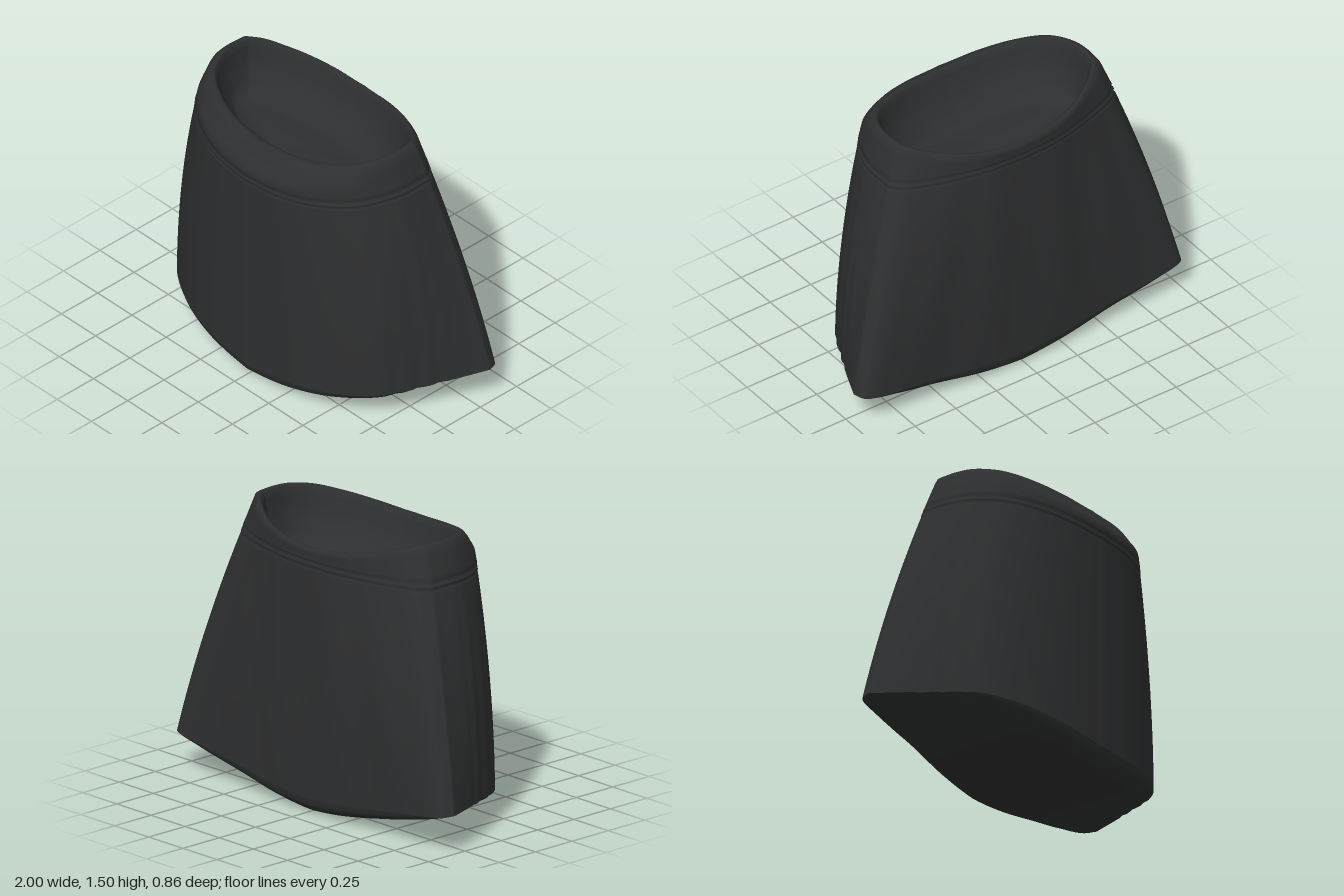
import * as THREE from 'three';

const V = (p) => new THREE.Vector3(p[0], 0, p[1]);
const HALF = 44; // samples along each front / back half curve
const ZC = -0.04;

// Closed outline from half-curves (x, z): front centre -> corner -> back centre, mirrored.
function outline(front, back) {
  const f = new THREE.CatmullRomCurve3(front.map(V));
  const b = new THREE.CatmullRomCurve3([front[front.length - 1], ...back].map(V));
  const half = [];
  for (let i = 0; i < HALF; i++) half.push(f.getPoint(i / HALF));
  for (let i = 0; i <= HALF; i++) half.push(b.getPoint(i / HALF));
  const mirrored = half.slice(1, -1).reverse().map((p) => new THREE.Vector3(-p.x, 0, p.z));
  return [...half, ...mirrored];
}

const hem = outline(
  [[0, 0.43], [0.3, 0.4], [0.55, 0.325], [0.745, 0.195], [0.85, 0.01], [0.925, -0.15], [1, -0.32]],
  [[0.97, -0.38], [0.8, -0.395], [0.55, -0.39], [0.28, -0.405], [0, -0.41]]);
const waist = outline(
  [[0, 0.43], [0.22, 0.405], [0.4, 0.335], [0.54, 0.22], [0.61, 0.07], [0.625, -0.05], [0.62, -0.155]],
  [[0.56, -0.225], [0.47, -0.285], [0.36, -0.34], [0.2, -0.385], [0, -0.4]]);
const N = hem.length;

// Position along one side: 0 front centre, 1 corner, 2 back centre.
const station = (i) => Math.min(i, N - i) / HALF;
const bump = (x, c, w) => Math.exp(-(((x - c) / w) ** 2));

// Hem, band seam and rim heights around the ring
const lift = (i) => 0.08 * Math.max(0, 1 - hem[i].x ** 2);
const underY = (x) => 0.2 * Math.abs(x) ** 1.55;
const hemY = (i) => underY(hem[i].x) + lift(i);
const rel = (i) => (waist[i].x / 0.62) ** 2;
const rimY = (i) => (station(i) < 1 ? 1.395 + 0.105 * rel(i) : 1.4 + 0.1 * rel(i));
const seamY = (i) => 1.25 + 0.06 * rel(i) + (station(i) > 1 ? 0.07 * (1 - rel(i)) : 0);

// Point on the outer cloth at height y, pushed in or out by the factor k
function cloth(i, y, k = 1) {
  const u = station(i);
  const v = THREE.MathUtils.clamp((y - hemY(i)) / (rimY(i) - hemY(i)), 0, 1);
  // the front panel stays fuller than the corners on its way up
  const linear = 0.72 - (u < 1 ? 0.62 * (1 - THREE.MathUtils.smoothstep(u, 0.65, 1)) : 0);
  const p = hem[i].clone().lerp(waist[i], linear * v + (1 - linear) * v * v);
  const pinch = THREE.MathUtils.smoothstep(v, 0.92, 1);
  if (p.z > 0) p.z *= 1 - 0.15 * pinch;
  return new THREE.Vector3(p.x * k, y, ZC + (p.z - ZC) * k);
}

// Side pleats and soft back folds, fading towards the waist
function folds(i, w) {
  const u = station(i), fade = 1 - 0.75 * w;
  const pleats = bump(u, 0.56, 0.018) + bump(u, 0.66, 0.02) + bump(u, 0.76, 0.018);
  return 1 - 0.011 * pleats * fade;
}
function backWave(i, w) {
  const u = station(i);
  if (u < 1.2) return 0;
  const ease = THREE.MathUtils.smoothstep(u, 1.2, 1.5);
  return -Math.sin(Math.PI * w) * ease * (0.016 + 0.005 * Math.sin((u - 1.2) * 22));
}

const ring = (fn) => Array.from({ length: N }, (_, i) => fn(i));

// Skin between successive closed rings
function loft(name, rows, material) {
  const pos = [], index = [];
  rows.forEach((row) => row.forEach((p) => pos.push(p.x, p.y, p.z)));
  for (let r = 0; r < rows.length - 1; r++) {
    for (let i = 0; i < N; i++) {
      const a = r * N + i, b = r * N + ((i + 1) % N);
      index.push(a, b, b + N, a, b + N, a + N);
    }
  }
  const geo = new THREE.BufferGeometry();
  geo.setAttribute('position', new THREE.Float32BufferAttribute(pos, 3));
  geo.setIndex(index);
  geo.computeVertexNormals();
  const mesh = new THREE.Mesh(geo, material);
  mesh.name = name;
  return mesh;
}

export function createModel() {
  const group = new THREE.Group();
  group.name = 'skirt';
  const fabric = new THREE.MeshStandardMaterial({ color: 0x2e2f30, side: THREE.DoubleSide });

  // Closed underside, curved up to the side corners with a rounded edge
  const under = [0, 0.2, 0.4, 0.6, 0.75, 0.84, 0.88, 0.92, 0.96, 0.985, 1].map((k) => ring((i) => {
    const e = Math.max(0, (k - 0.8) / 0.2);
    const f = k * (1 + (folds(i, 0) - 1) * k);
    const y = underY(hem[i].x * k) + lift(i) * (1 - Math.sqrt(1 - Math.min(1, e * e)));
    return new THREE.Vector3(hem[i].x * f, y, ZC + (hem[i].z - ZC) * f);
  }));
  group.add(loft('underside', under, fabric));

  // Flared body from hem to the band
  const body = [];
  for (let r = 0; r <= 28; r++) {
    const w = r / 28;
    body.push(ring((i) => {
      const p = cloth(i, THREE.MathUtils.lerp(hemY(i), seamY(i) - 0.035, w), folds(i, w));
      p.z += backWave(i, w);
      return p;
    }));
  }
  group.add(loft('skirtBody', body, fabric));

  // Waistband: double stitched groove and band
  const grooves = [[-0.035, null], [-0.026, -0.014], [-0.016, 0.004], [-0.004, 0.004], [0.006, -0.014], [0.015, 0.006]];
  const band = grooves.map(([dy, push]) =>
    ring((i) => cloth(i, seamY(i) + dy, push === null ? folds(i, 1) : 1 + push)));
  for (let r = 1; r <= 6; r++) {
    band.push(ring((i) => cloth(i, THREE.MathUtils.lerp(seamY(i) + 0.015, rimY(i) - 0.02, r / 6), 1.004)));
  }

  // Rings inside the rim: scale in x, scale in z (front, back), drop below the rim
  const inner = ([kx, kf, kb, dy]) => ring((i) => {
    const p = cloth(i, rimY(i));
    const dz = p.z - ZC;
    const frontRise = dz > 0 ? 0.025 * (1 - rel(i)) : 0;
    return new THREE.Vector3(p.x * kx, p.y + dy + frontRise, ZC + dz * (dz > 0 ? kf : kb));
  });

  // Rolled rim, wider at the front
  const rim = [[0.99, 0.96, 0.99, -0.006], [0.975, 0.91, 0.97, 0], [0.96, 0.86, 0.945, 0],
    [0.945, 0.82, 0.915, -0.012], [0.935, 0.8, 0.89, -0.04]];
  rim.forEach((r) => band.push(inner(r)));
  group.add(loft('waistband', band, fabric));

  // Shallow hollow with sloped walls and a nearly level floor
  const lining = [rim[4], [0.925, 0.74, 0.83, -0.1], [0.91, 0.66, 0.74, -0.16], [0.88, 0.54, 0.6, -0.21]].map(inner);
  [1, 0.7, 0.35, 0].forEach((k) => lining.push(ring((i) => {
    const p = cloth(i, rimY(i));
    return new THREE.Vector3(p.x * 0.84 * k, 1.17 + 0.03 * rel(i) * k, ZC + (p.z - ZC) * 0.42 * k);
  })));
  group.add(loft('lining', lining, fabric));

  return group;
}
